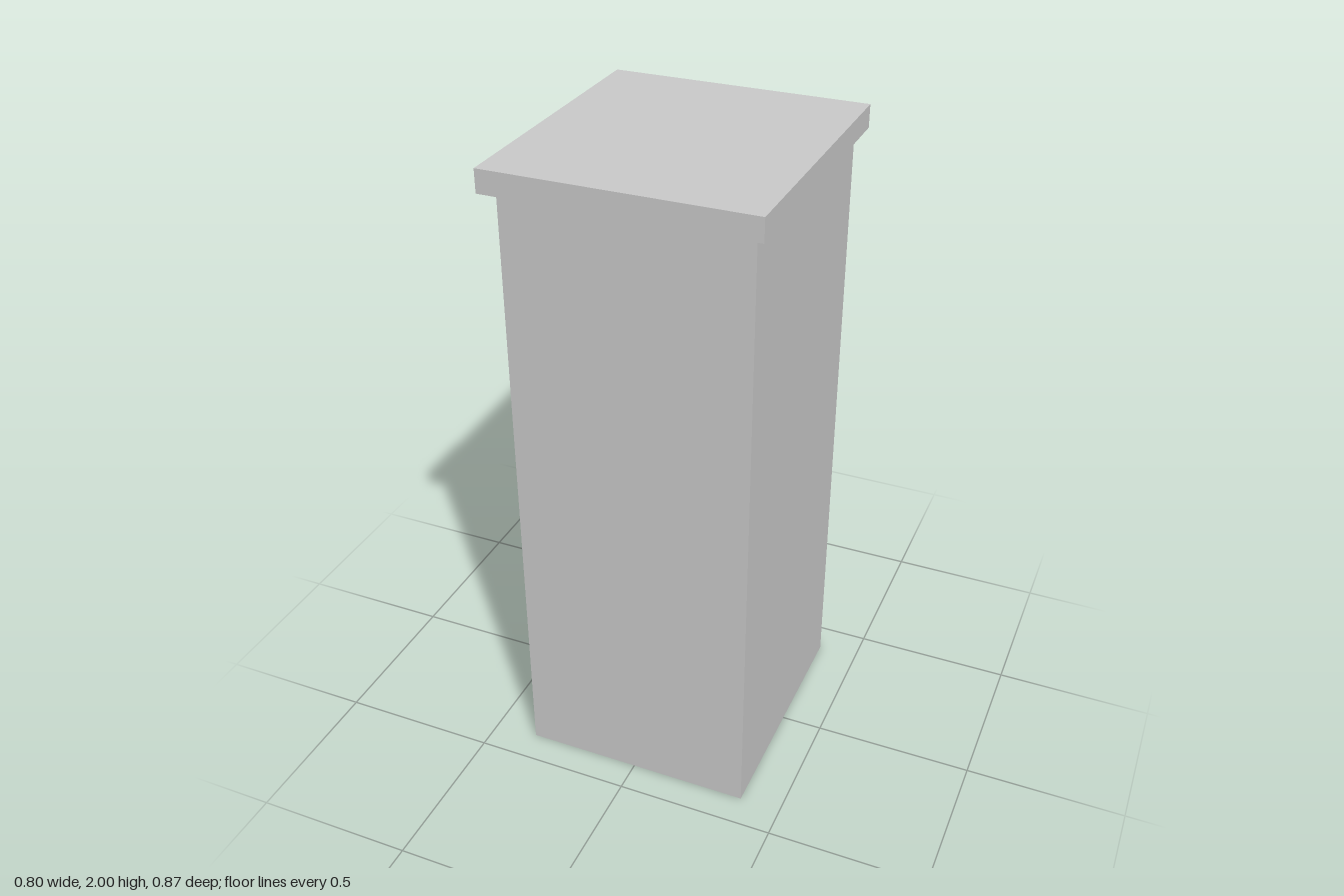
import * as THREE from 'three';

const material = new THREE.MeshStandardMaterial({ color: 0xcccccc, flatShading: true });

// Rectangular shell skinned through rings of [inset, y]; both ends are closed.
function ringSolid(x0, x1, z0, z1, rings) {
  const loops = rings.map(([d, y]) => [
    [x0 + d, y, z1 - d], [x1 - d, y, z1 - d], [x1 - d, y, z0 + d], [x0 + d, y, z0 + d],
  ]);
  const pos = [];
  const quad = (a, b, c, d) => pos.push(...a, ...b, ...c, ...a, ...c, ...d);
  quad(...loops[0]); // top end, facing up
  for (let r = 0; r < loops.length - 1; r++) {
    const up = loops[r], low = loops[r + 1];
    for (let i = 0; i < 4; i++) {
      const j = (i + 1) % 4;
      quad(low[i], low[j], up[j], up[i]);
    }
  }
  quad(...loops[loops.length - 1].slice().reverse()); // last end, facing down
  const geometry = new THREE.BufferGeometry();
  geometry.setAttribute('position', new THREE.Float32BufferAttribute(pos, 3));
  geometry.computeVertexNormals();
  return geometry;
}

export function createModel() {
  const model = new THREE.Group();
  model.name = 'pillar';

  const capHeight = 0.07, bodyTop = 2 - capHeight;
  const wall = 0.067, recessDepth = 0.29;

  // Shaft with a recess in its underside
  const shaft = new THREE.Mesh(ringSolid(-0.36, 0.37, -0.395, 0.4, [
    [0, bodyTop], [0, 0], [wall, 0], [wall, recessDepth],
  ]), material);
  shaft.name = 'shaft';
  model.add(shaft);

  // Overhanging cap slab
  const cap = new THREE.Mesh(new THREE.BoxGeometry(0.8, capHeight, 0.87), material);
  cap.name = 'cap';
  cap.position.y = bodyTop + capHeight / 2;
  model.add(cap);

  return model;
}
